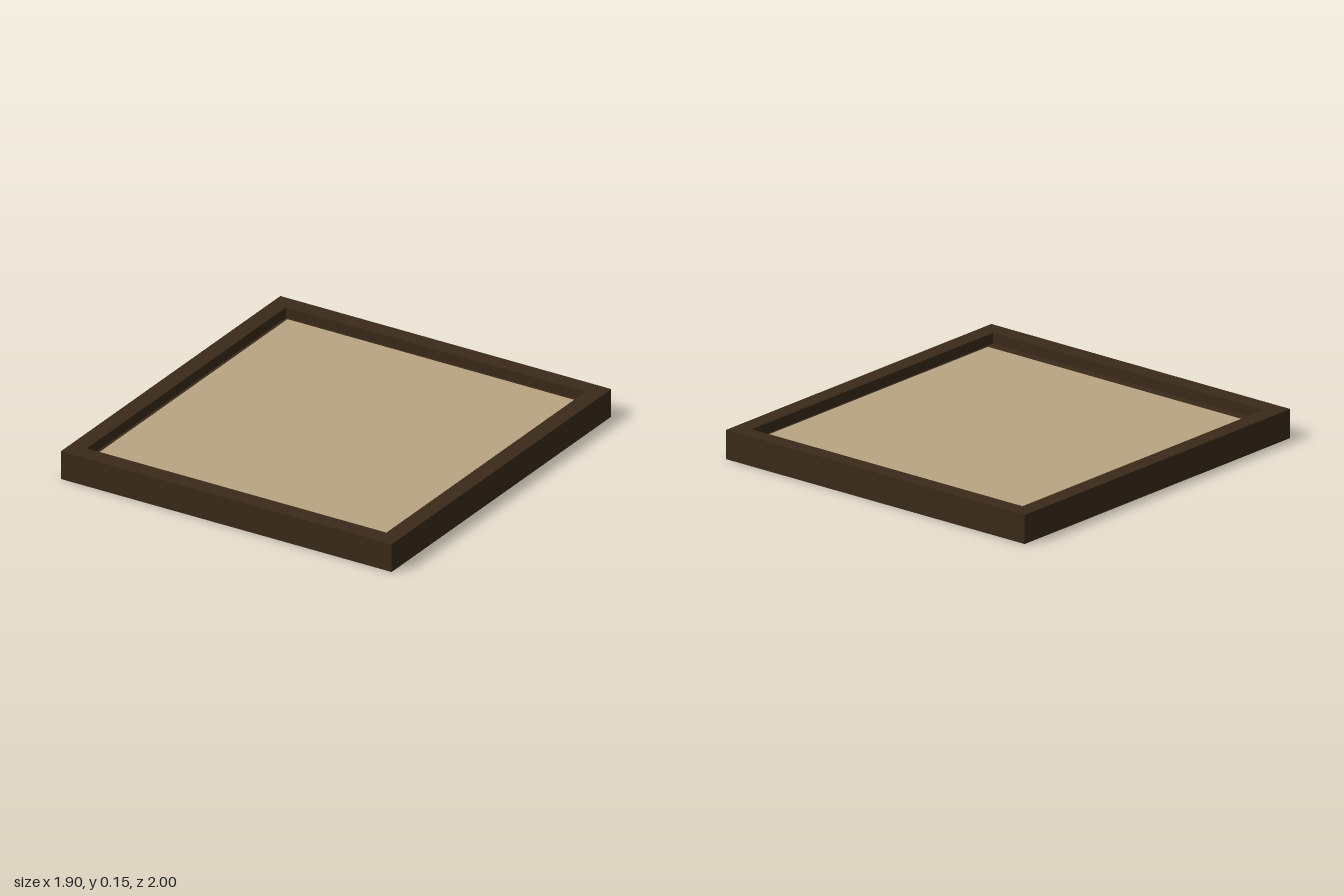
import * as THREE from 'three';

const WIDTH = 1.9, DEPTH = 2, HEIGHT = 0.15;
const FLOOR_Y = 0.095, PANEL_Y = 0.1;
const OPENING = { x: 0.86, back: -0.91, front: 0.905 };
const PANEL = { x: 0.84, back: -0.89, front: 0.845 };

// Flat slab covering a rectangle in plan, between two heights
function slab(name, rect, bottom, top, material) {
  const geometry = new THREE.BoxGeometry(rect.x * 2, top - bottom, rect.front - rect.back);
  const mesh = new THREE.Mesh(geometry, material);
  mesh.name = name;
  mesh.position.set(0, (top + bottom) / 2, (rect.front + rect.back) / 2);
  return mesh;
}

export function createModel() {
  const group = new THREE.Group();
  group.name = 'framedTray';
  const wood = new THREE.MeshStandardMaterial({ color: 0x3a2a1a });
  const paper = new THREE.MeshStandardMaterial({ color: 0xb8a582 });

  // Raised rim: outer rectangle with the opening cut through it
  const w = WIDTH / 2, d = DEPTH / 2;
  const outline = new THREE.Shape([
    new THREE.Vector2(-w, -d), new THREE.Vector2(w, -d),
    new THREE.Vector2(w, d), new THREE.Vector2(-w, d),
  ]);
  const { x, back, front } = OPENING;
  outline.holes.push(new THREE.Path([
    new THREE.Vector2(-x, -front), new THREE.Vector2(-x, -back),
    new THREE.Vector2(x, -back), new THREE.Vector2(x, -front),
  ]));
  const rimGeometry = new THREE.ExtrudeGeometry(outline, { depth: HEIGHT, bevelEnabled: false });
  rimGeometry.rotateX(-Math.PI / 2);
  const rim = new THREE.Mesh(rimGeometry, wood);
  rim.name = 'rim';

  // Recessed floor and the light panel resting on it
  group.add(
    rim,
    slab('floor', OPENING, 0, FLOOR_Y, wood),
    slab('panel', PANEL, FLOOR_Y, PANEL_Y, paper),
  );
  return group;
}
